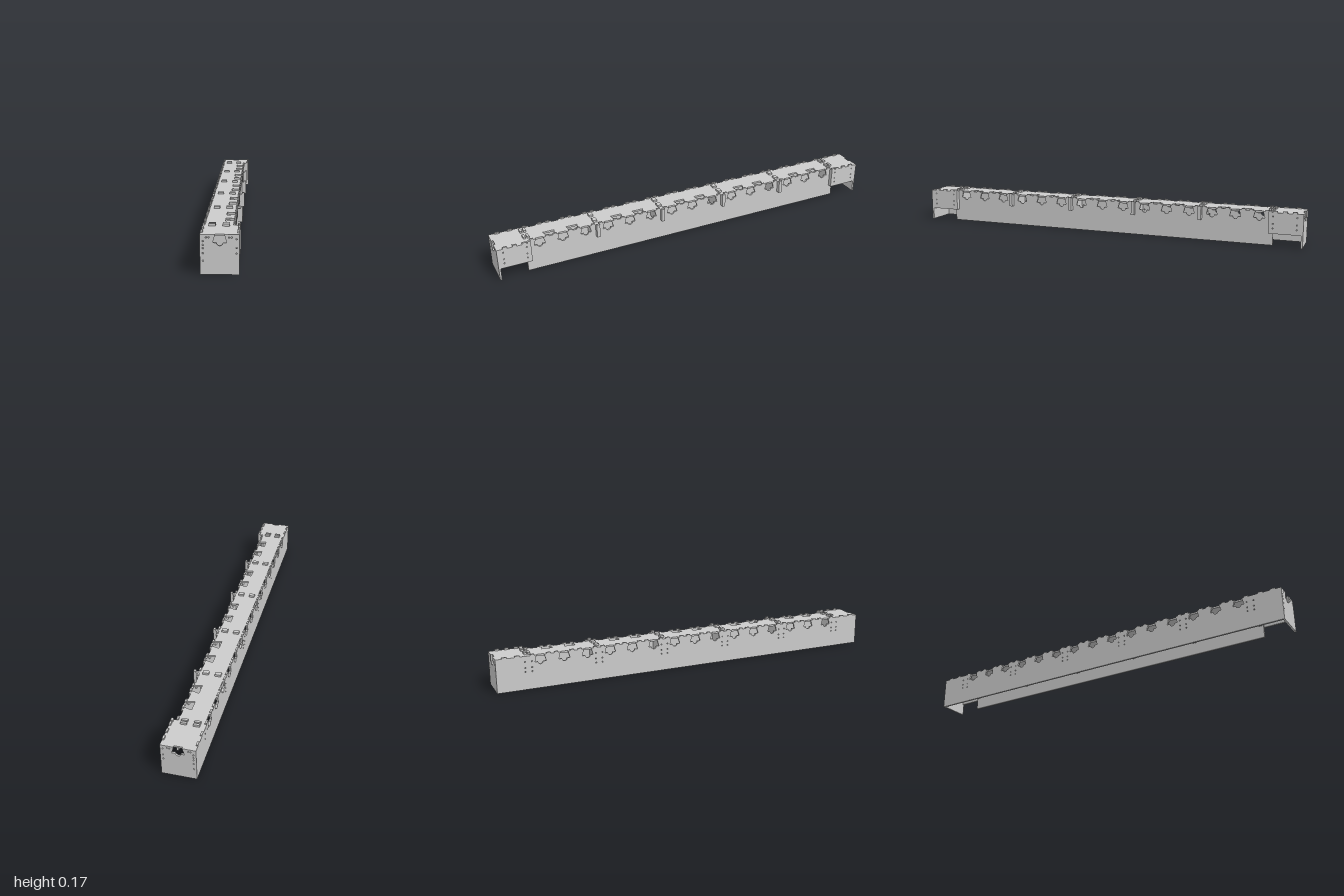
import * as THREE from 'three';

const T = 0.009;          // sheet thickness
const TOP = 0.16;         // upper face of the deck
const PITCH = 0.1133;     // spacing of the clip openings
const material = new THREE.MeshStandardMaterial({ color: 0xcccccc });

function extrude(shape, depth) {
  return new THREE.ExtrudeGeometry(shape, { depth, bevelEnabled: false, curveSegments: 8 });
}

function add(group, name, geometry, x = 0, y = 0, z = 0) {
  const mesh = new THREE.Mesh(geometry, material);
  mesh.name = name;
  mesh.position.set(x, y, z);
  group.add(mesh);
  return mesh;
}

function polygon(points) {
  return new THREE.Shape(points.map(([x, y]) => new THREE.Vector2(x, y)));
}

// Upright sheet whose upper edge carries teeth and flared clip openings
function wallShape(u0, u1, y0, notches, teeth, holes) {
  const s = new THREE.Shape();
  s.moveTo(u0, y0);
  s.lineTo(u1, y0);
  s.lineTo(u1, TOP);
  const features = [
    ...notches.map((c) => ({ c, notch: true })),
    ...teeth.map(([c, w, h]) => ({ c, w, h })),
  ].sort((a, b) => b.c - a.c);
  for (const { c, notch, w, h } of features) {
    if (notch) {
      s.lineTo(c + 0.018, TOP);
      s.lineTo(c + 0.027, 0.127);
      s.lineTo(c + 0.012, 0.127);
      s.absarc(c, 0.127, 0.012, 0, Math.PI, true);
      s.lineTo(c - 0.027, 0.127);
      s.lineTo(c - 0.018, TOP);
    } else {
      s.lineTo(c + w / 2, TOP);
      s.lineTo(c + w / 2, h);
      s.lineTo(c - w / 2, h);
      s.lineTo(c - w / 2, TOP);
    }
  }
  s.lineTo(u0, TOP);
  for (const [u, y] of holes) {
    s.holes.push(new THREE.Path().absarc(u, y, 0.003, 0, Math.PI * 2, true));
  }
  return s;
}

export function createModel() {
  const model = new THREE.Group();
  model.name = 'boxBeam';

  const clipCentres = [];
  for (let k = -7; k <= 7; k++) clipCentres.push(k * PITCH);
  const wallTeeth = clipCentres.flatMap((c) => [[c - 0.038, 0.018, 0.166], [c + 0.038, 0.018, 0.166]]);
  const ribCentres = [-0.51, -0.17, 0.17, 0.51];

  // Full length wall on the right, with fastener holes at every rib
  const ribHoles = [-0.85, ...ribCentres, 0.85].flatMap((c) =>
    [-0.016, 0.016].flatMap((d) => [0.085, 0.105, 0.133].map((y) => [c + d, y])));
  const longTeeth = [...wallTeeth, ...[-0.96, -0.9, 0.9, 0.96].map((c) => [c, 0.022, 0.166])];
  const longWall = extrude(wallShape(-0.991, 0.991, 0, clipCentres, longTeeth, ribHoles), T);
  longWall.rotateY(Math.PI / 2);
  add(model, 'longWall', longWall, -0.077);

  // Shorter recessed wall on the left
  const recessedWall = extrude(wallShape(-0.86, 0.86, 0, clipCentres, wallTeeth, []), T);
  recessedWall.rotateY(Math.PI / 2);
  add(model, 'recessedWall', recessedWall, 0.047);

  // Deck, wider at both ends, with a pair of flared openings in each bay
  const deckShape = polygon([
    [-0.068, -0.991], [0.068, -0.991], [0.068, -0.84], [0.047, -0.84],
    [0.047, 0.84], [0.068, 0.84], [0.068, 0.991], [-0.068, 0.991],
  ]);
  for (let bay = -2; bay <= 2; bay++) {
    for (const side of [-1, 1]) {
      const c = bay * 0.34 + side * PITCH / 2;
      deckShape.holes.push(polygon([
        [0.012, c - 0.028], [0.012, c + 0.028], [0.0465, c + 0.019], [0.0465, c - 0.019],
      ]));
    }
  }
  const deck = extrude(deckShape, T);
  deck.rotateX(Math.PI / 2);
  add(model, 'deck', deck, 0, TOP);

  // Cross ribs that pass through the recessed wall
  const ribShape = polygon([
    [-0.068, 0.06], [0.047, 0.06], [0.047, 0.1], [0.077, 0.1], [0.077, 0.168],
    [0.066, 0.168], [0.066, TOP], [0.056, TOP], [0.056, 0.151], [-0.068, 0.151],
  ]);
  const rib = extrude(ribShape, 0.016);
  rib.translate(0, 0, -0.008);
  const ribTab = new THREE.BoxGeometry(0.028, 0.02, 0.02);
  for (const z of ribCentres) {
    add(model, 'rib', rib, 0, 0, z);
    for (const x of [-0.038, 0.019]) add(model, 'ribTab', ribTab, x, TOP, z);
  }

  // End boxes
  const endHoles = [
    [-0.053, 0.148], [-0.043, 0.148], [0.036, 0.148], [0.046, 0.148],
    [-0.065, 0.055], [-0.065, 0.085], [-0.065, 0.105], [-0.065, 0.118], [-0.065, 0.133],
    [0.065, 0.085], [0.065, 0.107], [0.065, 0.142],
  ];
  const endPlate = extrude(wallShape(-0.077, 0.077, 0, [0], [], endHoles), T);
  endPlate.translate(0, 0, -T / 2);
  const sideHoles = [-0.055, 0.055].flatMap((u) => [0.085, 0.107, 0.142].map((y) => [u, y]));
  const sidePlate = extrude(
    wallShape(-0.0755, 0.0755, 0.06, [], [-0.045, 0, 0.045].map((c) => [c, 0.02, 0.168]), sideHoles), T);
  sidePlate.rotateY(Math.PI / 2);
  const bulkhead = extrude(polygon([
    [-0.068, 0.06], [0.077, 0.06], [0.077, 0.168], [0.066, 0.168], [0.066, 0.151], [-0.068, 0.151],
  ]), 0.016);
  bulkhead.translate(0, 0, -0.008);
  const smallTab = new THREE.BoxGeometry(0.028, 0.02, 0.011);
  for (const s of [-1, 1]) {
    const end = new THREE.Group();
    end.name = s > 0 ? 'frontEnd' : 'backEnd';
    add(end, 'endPlate', endPlate, 0, 0, s * (1 - T / 2));
    add(end, 'endSidePlate', sidePlate, 0.068, 0, s * 0.9155);
    add(end, 'bulkhead', bulkhead, 0, 0, s * 0.848);
    for (const x of [-0.038, 0.019]) {
      for (const z of [0.839, 0.857]) add(end, 'bulkheadTab', smallTab, x, TOP, s * z);
    }
    model.add(end);
  }

  return model;
}
